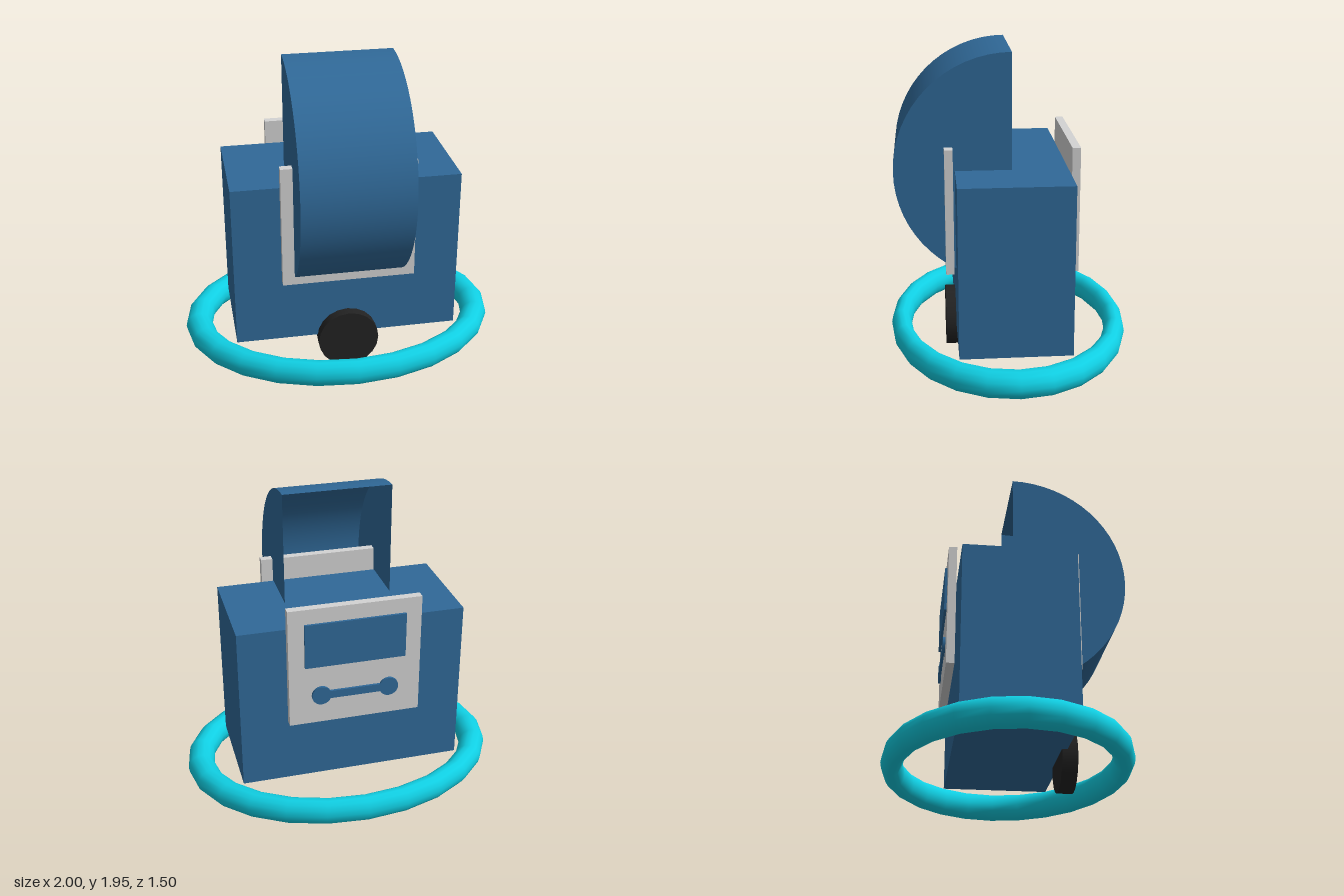
import * as THREE from 'three';

const mat = (name, color, side = THREE.FrontSide) => {
  const m = new THREE.MeshStandardMaterial({ color, side });
  m.name = name;
  return m;
};

export function createModel() {
  const group = new THREE.Group();
  const blue = mat('blue', 0x306998, THREE.DoubleSide);
  const grey = mat('light grey', 0xd3d3d3);
  const black = mat('black', 0x222222);
  const cyan = mat('cyan', 0x10cfe3);

  const add = (name, geometry, material, x, y, z) => {
    const mesh = new THREE.Mesh(geometry, material);
    mesh.name = name;
    mesh.position.set(x, y, z);
    group.add(mesh);
    return mesh;
  };

  // Main box
  add('body', new THREE.BoxGeometry(1.395, 1.045, 0.675), blue, 0, 0.7325, 0);

  // Hollow half drum, open towards the back
  const drum = new THREE.CylinderGeometry(0.7, 0.7, 0.67, 32, 1, false, -Math.PI / 2, Math.PI);
  drum.rotateZ(Math.PI / 2);
  add('halfDrum', drum, blue, 0, 1.255, 0);

  // Matching panels on front and back
  for (const [name, s] of [['frontPanel', 1], ['backPanel', -1]]) {
    add(name, new THREE.BoxGeometry(0.815, 0.77, 0.05), grey, 0, 1.015, s * 0.375);
  }

  // Raised details on the back panel
  add('screen', new THREE.BoxGeometry(0.62, 0.285, 0.015), blue, 0, 1.1625, -0.4075);
  add('slotBar', new THREE.BoxGeometry(0.4, 0.05, 0.015), blue, 0, 0.82, -0.4075);
  for (const s of [-1, 1]) {
    const disc = new THREE.CylinderGeometry(0.06, 0.06, 0.015, 20);
    disc.rotateX(Math.PI / 2);
    add('slotEnd', disc, blue, s * 0.21, 0.82, -0.4075);
  }

  // Front wheel
  const wheel = new THREE.CylinderGeometry(0.19, 0.19, 0.095, 20);
  wheel.rotateX(Math.PI / 2);
  add('wheel', wheel, black, 0, 0.193, 0.3525);

  // Oval bumper ring
  const ring = new THREE.TorusGeometry(0.915, 0.085, 14, 24);
  ring.rotateX(Math.PI / 2);
  ring.scale(1, 1, 0.75);
  add('bumperRing', ring, cyan, 0, 0.15, 0);

  return group;
}
